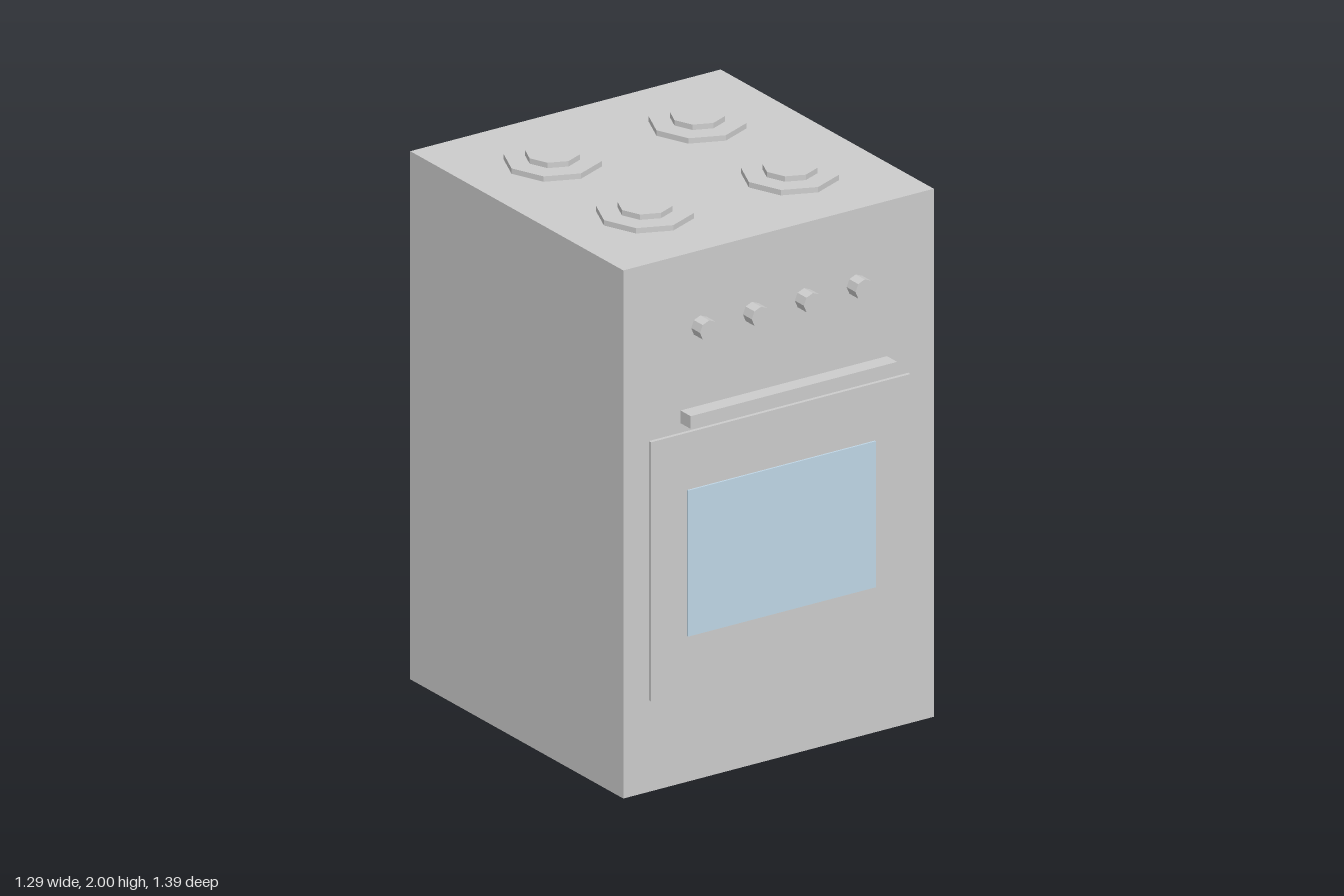
import * as THREE from 'three';

const grey = new THREE.MeshStandardMaterial({ color: 0xcccccc });
grey.name = 'grey enamel';
const glass = new THREE.MeshStandardMaterial({ color: 0xbfd6e5 });
glass.name = 'pale blue glass';

export function createModel() {
  const model = new THREE.Group();
  model.name = 'stove';

  // Box given by its lower and upper bounds
  const box = (name, material, [x0, y0, z0], [x1, y1, z1]) => {
    const mesh = new THREE.Mesh(new THREE.BoxGeometry(x1 - x0, y1 - y0, z1 - z0), material);
    mesh.position.set((x0 + x1) / 2, (y0 + y1) / 2, (z0 + z1) / 2);
    mesh.name = name;
    model.add(mesh);
  };

  // Faceted eight-sided disc with sharp edges
  const disc = (name, radius, height, x, y, z) => {
    const geometry = new THREE.CylinderGeometry(radius, radius, height, 8).toNonIndexed();
    geometry.computeVertexNormals();
    const mesh = new THREE.Mesh(geometry, grey);
    mesh.position.set(x, y, z);
    mesh.name = name;
    model.add(mesh);
    return mesh;
  };

  box('body', grey, [-0.645, 0, -0.693], [0.645, 1.96, 0.598]);

  // Oven door, window and handle bar
  box('ovenDoor', grey, [-0.539, 0.34, 0.598], [0.539, 1.302, 0.612]);
  box('ovenWindow', glass, [-0.39, 0.548, 0.612], [0.39, 1.09, 0.619]);
  box('doorHandle', grey, [-0.43, 1.354, 0.631], [0.428, 1.401, 0.693]);

  // Control knobs
  for (const x of [-0.325, -0.11, 0.106, 0.321]) {
    disc('knob', 0.038, 0.055, x, 1.68, 0.6245).rotation.x = Math.PI / 2;
  }

  // Four stepped hob burners
  for (const x of [-0.302, 0.3]) {
    for (const z of [-0.33, 0.23]) {
      disc('burnerPlate', 0.171, 0.02, x, 1.97, z);
      disc('burnerCap', 0.096, 0.02, x, 1.99, z);
    }
  }

  return model;
}
